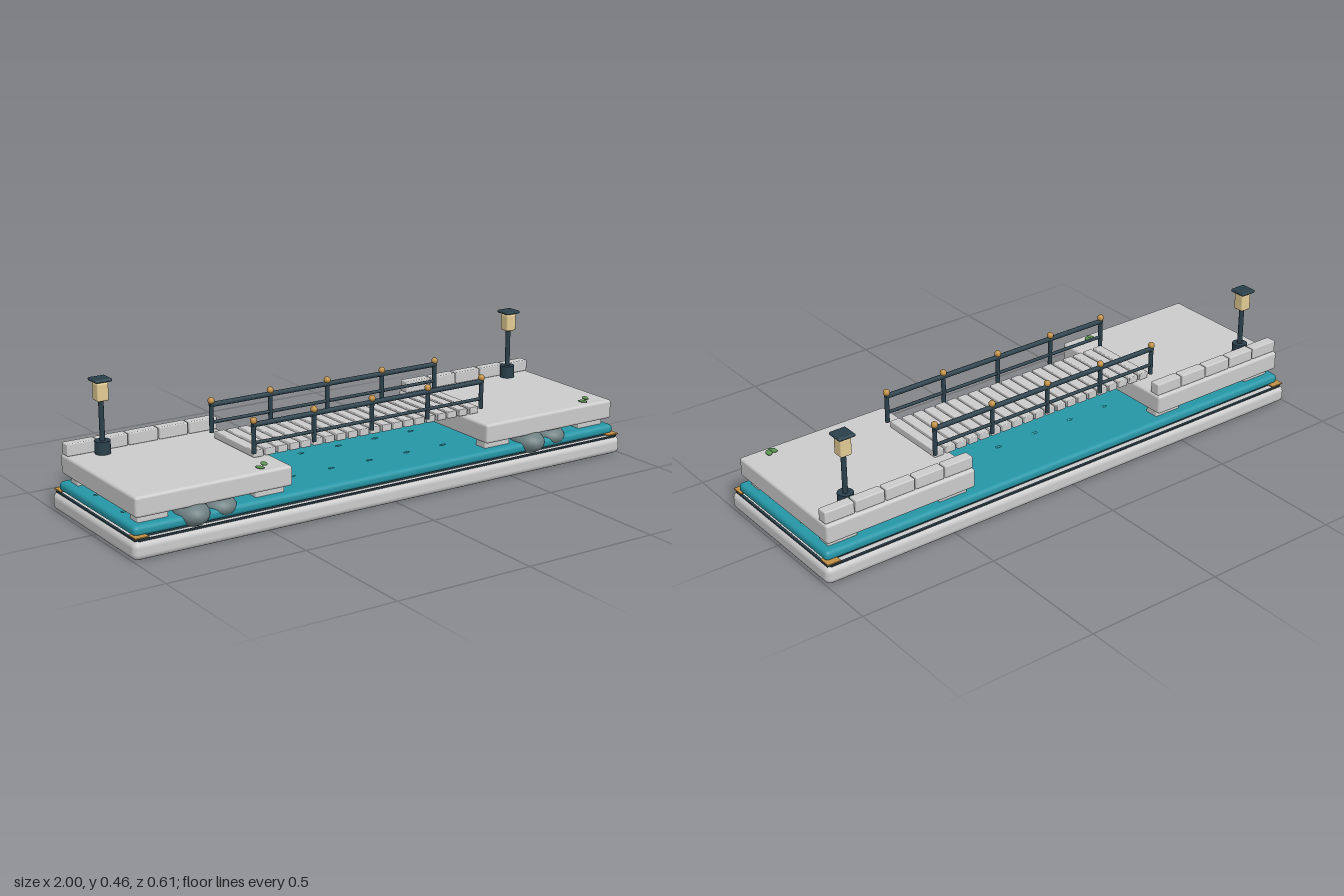
import * as THREE from 'three';
import { RoundedBoxGeometry } from 'three/addons/geometries/RoundedBoxGeometry.js';

const paint = (color) => new THREE.MeshStandardMaterial({ color });
const stone = paint(0xcccccc), water = paint(0x2596a6), iron = paint(0x2a404b), brass = paint(0xc08f45),
  glow = paint(0xe2cb94), rock = paint(0x6f8082), leaf = paint(0x5a9450);

export function createModel() {
  const model = new THREE.Group();
  const body = new THREE.Group();
  body.position.z = -0.003;
  model.add(body);

  const add = (name, geo, mat, x, y, z) => {
    const mesh = new THREE.Mesh(geo, mat);
    mesh.name = name;
    mesh.position.set(x, y, z);
    body.add(mesh);
    return mesh;
  };
  // Rounded block given by its size, bottom height and edge radius
  const block = (name, mat, w, h, d, r, x, bottom, z) =>
    add(name, new RoundedBoxGeometry(w, h, d, 3, r), mat, x, bottom + h / 2, z);
  const rod = (name, mat, r, h, x, bottom, z, sides = 16) =>
    add(name, new THREE.CylinderGeometry(r, r, h, sides), mat, x, bottom + h / 2, z);
  const ellipsoid = (name, mat, rx, ry, rz, x, y, z) => {
    const mesh = add(name, new THREE.SphereGeometry(1, 24, 14), mat, x, y, z);
    mesh.scale.set(rx, ry, rz);
    return mesh;
  };

  // Base slab and canal
  block('baseSlab', stone, 2, 0.064, 0.6, 0.022, 0, 0, 0);
  block('water', water, 1.97, 0.035, 0.545, 0.015, 0, 0.07, 0);
  block('waterBed', iron, 1.93, 0.012, 0.52, 0.003, 0, 0.061, 0);

  // Dark trim around the slab, with brass corners
  for (const s of [-1, 1]) {
    block('longTrim', iron, 1.96, 0.006, 0.01, 0.002, 0, 0.062, s * 0.287);
    block('shortTrim', iron, 0.01, 0.006, 0.57, 0.002, s * 0.985, 0.062, 0);
    for (const t of [-1, 1])
      block('cornerPlate', brass, 0.05, 0.005, 0.046, 0.002, s * 0.967, 0.071, t * 0.27);
  }

  // Ripples on the water
  for (let i = -6; i <= 6; i++)
    for (const z of [0.125, -0.07])
      ellipsoid('ripple', water, 0.013, 0.002, 0.006, i * 0.157, 0.107, z);

  // Two quays with piers, curb stones and a lamp
  for (const s of [-1, 1]) {
    block('quay', stone, 0.575, 0.07, 0.538, 0.01, s * 0.6875, 0.13, 0);
    for (const x of [0.47, 0.9])
      for (const z of [-0.213, 0.213])
        block('pier', stone, 0.11, 0.042, 0.053, 0.004, s * x, 0.099, z);
    for (let i = 0; i < 5; i++)
      block('curbStone', stone, 0.11, 0.043, 0.039, 0.004, s * (0.4575 + i * 0.115), 0.2, -0.239);

    const x = s * 0.855, z = -0.194;
    rod('lampBase', iron, 0.027, 0.045, x, 0.2, z, 24);
    rod('lampPost', iron, 0.009, 0.142, x, 0.243, z);
    block('lantern', glow, 0.042, 0.063, 0.042, 0.006, x, 0.383, z);
    rod('lampNeck', iron, 0.014, 0.008, x, 0.444, z);
    block('lampCap', iron, 0.062, 0.011, 0.062, 0.005, x, 0.449, z);
  }

  // Boulders and fallen leaves, repeated along the canal
  for (const dx of [0, 1.37]) {
    ellipsoid('largeBoulder', rock, 0.057, 0.042, 0.075, -0.76 + dx, 0.1, 0.231);
    ellipsoid('smallBoulder', rock, 0.055, 0.036, 0.062, -0.65 + dx, 0.1, 0.22);
    ellipsoid('leaf', leaf, 0.011, 0.004, 0.018, -0.505 + dx, 0.204, 0.235).rotation.y = 0.3;
    ellipsoid('leaf', leaf, 0.011, 0.005, 0.018, -0.482 + dx, 0.209, 0.222).rotation.y = -0.3;
  }

  // Footbridge deck
  for (let i = 0; i < 20; i++)
    block('plank', stone, 0.038, 0.025, 0.262, 0.003, (i - 9.5) * 0.047, 0.2, 0);

  // Footbridge railings
  for (const z of [-0.14, 0.14]) {
    for (let i = -2; i <= 2; i++) {
      rod('railPost', iron, 0.008, 0.107, i * 0.235, 0.219, z);
      ellipsoid('postKnob', brass, 0.012, 0.012, 0.012, i * 0.235, 0.332, z);
    }
    for (const [y, r] of [[0.318, 0.009], [0.255, 0.006]]) {
      const rail = add('handrail', new THREE.CylinderGeometry(r, r, 0.95, 14), iron, 0, y, z);
      rail.rotation.z = Math.PI / 2;
    }
  }
  return model;
}
